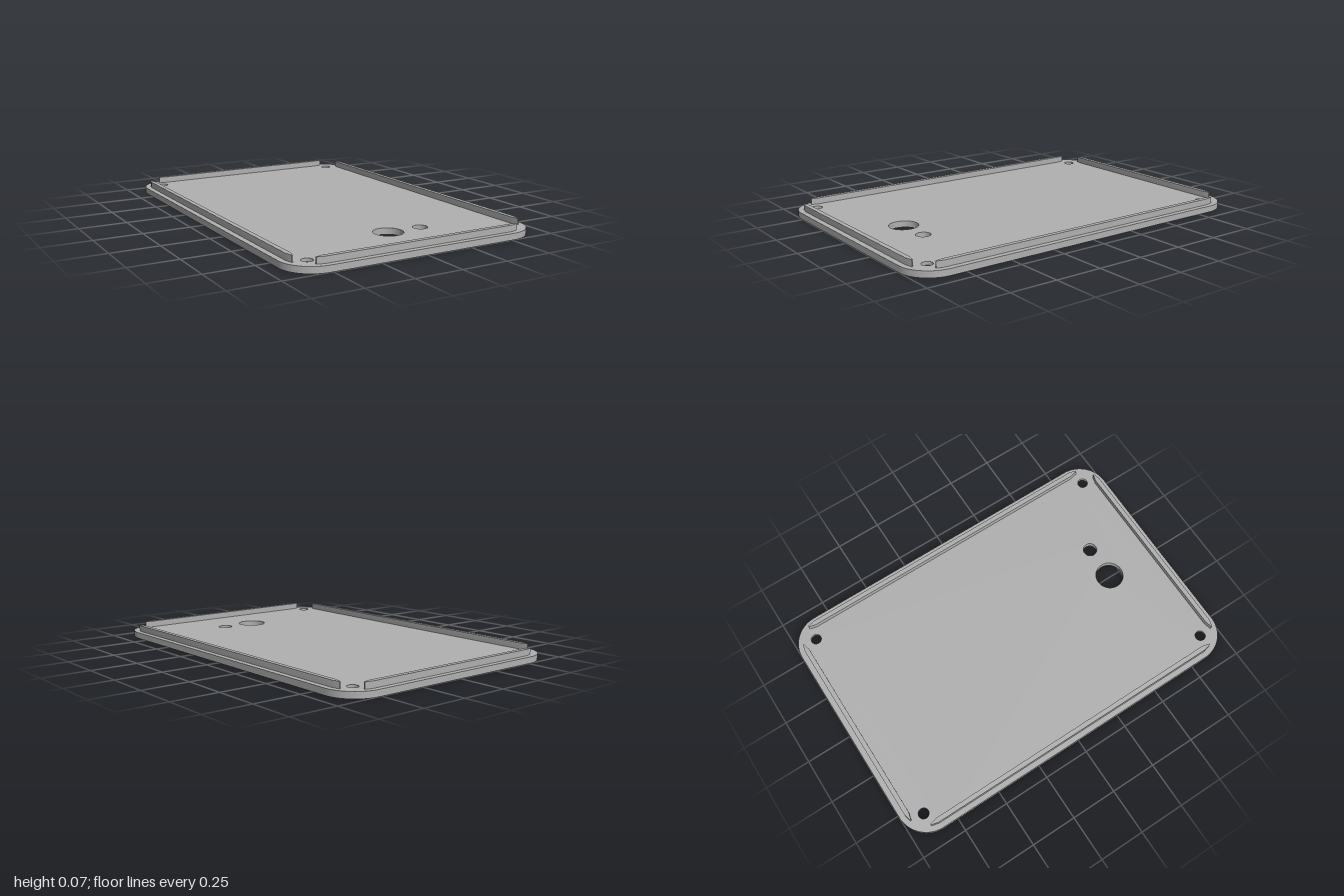
import * as THREE from 'three';
import { toCreasedNormals } from 'three/addons/utils/BufferGeometryUtils.js';

const W = 0.68, L = 1, R = 0.165;          // half width, half length, corner radius
const T = 0.033, GROOVE = 0.016, TOP = 0.066; // plate top, recess depth, rib top
const RING = { z: -0.36, outer: 0.595, inner: 0.484, slot: 0.058, slotEnd: 0.386 };
const SCREWS = [[-1, -1], [1, -1], [1, 1], [-1, 1]].map(([x, z]) => [x * 0.565, z * 0.885]);

const circle = (x, z, r, Kind = THREE.Path) => new Kind().absarc(x, z, r, 0, Math.PI * 2, false);

// Rounded plate outline in plan (shape y becomes z)
function outline() {
  const s = new THREE.Shape(), q = Math.PI / 2;
  s.absarc(W - R, L - R, R, 0, q);
  s.absarc(-W + R, L - R, R, q, 2 * q);
  s.absarc(-W + R, -L + R, R, 2 * q, 3 * q);
  s.absarc(W - R, -L + R, R, 3 * q, 4 * q);
  s.closePath();
  // Large and small openings near the front
  s.holes.push(circle(0, 0.677, 0.076), circle(0.19, 0.677, 0.038));
  return s;
}

// Ring recess joined to its short straight slot
function ringRecess() {
  const { z, outer, slot, slotEnd } = RING, a = Math.asin(slot / outer);
  const p = new THREE.Path();
  p.moveTo(-slot, slotEnd);
  p.lineTo(slot, slotEnd);
  p.absarc(0, z, outer, Math.PI / 2 - a, Math.PI / 2 + a, true);
  p.closePath();
  return p;
}

// Stand a plan shape up between two heights
function slab(shape, y0, y1) {
  const g = new THREE.ExtrudeGeometry(shape, { depth: y1 - y0, bevelEnabled: false, curveSegments: 40 });
  g.rotateX(Math.PI / 2).translate(0, y1, 0);
  return toCreasedNormals(g, 0.5);
}

export function createModel() {
  const model = new THREE.Group();
  model.name = 'coverPlate';
  const grey = new THREE.MeshStandardMaterial({ color: 0xb0b0b0, side: THREE.DoubleSide });
  grey.name = 'grey';
  const add = (name, geometry) => {
    const m = new THREE.Mesh(geometry, grey);
    m.name = name;
    model.add(m);
    return m;
  };

  // Upper layer with straight screw holes
  const upper = outline();
  SCREWS.forEach(([x, z]) => upper.holes.push(circle(x, z, 0.028)));
  add('upperPlate', slab(upper, GROOVE, T));

  // Lower layer with the recess and wide screw openings
  const lower = outline();
  SCREWS.forEach(([x, z]) => lower.holes.push(circle(x, z, 0.048)));
  lower.holes.push(ringRecess());
  add('lowerPlate', slab(lower, 0, GROOVE));
  add('ringCentre', slab(circle(0, RING.z, RING.inner, THREE.Shape), 0, GROOVE));

  // Conical countersinks
  const cone = new THREE.CylinderGeometry(0.028, 0.048, GROOVE, 40, 1, true);
  SCREWS.forEach(([x, z]) => add('countersink', cone).position.set(x, GROOVE / 2, z));

  // Locating ribs with tapered ends, one along each edge
  const rib = (half) => {
    const w = 0.0125, tip = 0.003, s = half - 0.04;
    return slab(new THREE.Shape([
      [-half, -tip], [-s, -w], [s, -w], [half, -tip],
      [half, tip], [s, w], [-s, w], [-half, tip],
    ].map(([x, z]) => new THREE.Vector2(x, z))), T, TOP);
  };
  const endRib = rib(0.562), sideRib = rib(0.885).rotateY(Math.PI / 2);
  for (const side of [-1, 1]) {
    add(side > 0 ? 'frontRib' : 'backRib', endRib).position.z = side * 0.958;
    add(side > 0 ? 'leftRib' : 'rightRib', sideRib).position.x = side * 0.638;
  }
  return model;
}
